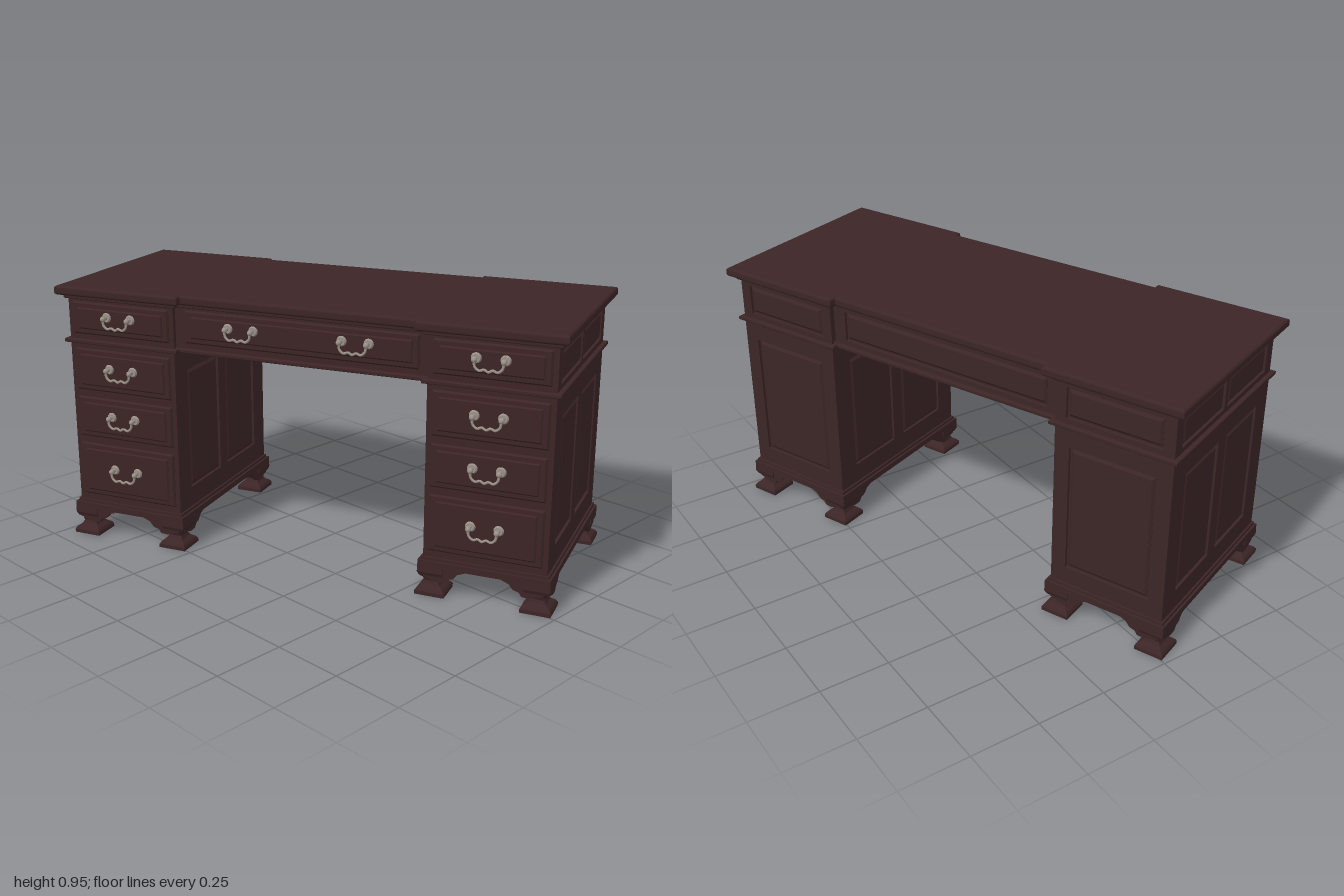
import * as THREE from 'three';

const wood = new THREE.MeshStandardMaterial({ color: 0x3c2526 });
wood.name = 'dark mahogany';
const metal = new THREE.MeshStandardMaterial({ color: 0x9a9088 });
metal.name = 'aged nickel';

function add(parent, name, geo, x = 0, y = 0, z = 0, mat = wood) {
  const m = new THREE.Mesh(geo, mat);
  m.name = name;
  m.position.set(x, y, z);
  parent.add(m);
  return m;
}

function polygon(points) {
  return new THREE.Shape(points.map(([x, y]) => new THREE.Vector2(x, y)));
}

// Breakfront outline (centre set back on both long sides), grown by o
function slab(parent, name, y0, y1, o, bevel = 0) {
  const b = o - bevel;
  const X = 0.89 + b, S = 0.465 - b, Z = 0.345 + b, C = 0.32 + b;
  const shape = polygon([
    [-X, -Z], [-S, -Z], [-S, -C], [S, -C], [S, -Z], [X, -Z],
    [X, Z], [S, Z], [S, C], [-S, C], [-S, Z], [-X, Z],
  ]);
  const t = bevel * 0.8;
  const geo = new THREE.ExtrudeGeometry(shape, {
    depth: y1 - y0 - 2 * t, bevelEnabled: bevel > 0, bevelSize: bevel, bevelThickness: t, bevelSegments: 4,
  });
  geo.rotateX(-Math.PI / 2);
  return add(parent, name, geo, 0, y0 + t, 0);
}

function rect(w, h, cx = 0) {
  return [[cx - w / 2, -h / 2], [cx + w / 2, -h / 2], [cx + w / 2, h / 2], [cx - w / 2, h / 2]];
}

// Raised panel with sloping edges, back on z = 0
function raised(parent, name, w, h, cx, depth, slope, z) {
  const geo = new THREE.ExtrudeGeometry(polygon(rect(w - 2 * slope, h - 2 * slope)), {
    depth: 0.001, bevelSize: slope, bevelThickness: depth, bevelSegments: 1,
  });
  return add(parent, name, geo, cx, 0, z);
}

// Stile-and-rail frame with n raised panels, facing local +z
function panelling(parent, name, w, h, n, mx, my, gap, pos, turn) {
  const g = new THREE.Group();
  g.name = name;
  const frame = polygon(rect(w, h));
  const pw = (w - 2 * mx - gap * (n - 1)) / n, ph = h - 2 * my;
  for (let i = 0; i < n; i++) {
    const cx = -w / 2 + mx + pw / 2 + i * (pw + gap);
    frame.holes.push(new THREE.Path(rect(pw, ph, cx).reverse().map(([x, y]) => new THREE.Vector2(x, y))));
    raised(g, 'raisedPanel', pw - 0.014, ph - 0.014, cx, 0.007, 0.01, 0);
  }
  add(g, 'frame', new THREE.ExtrudeGeometry(frame, { depth: 0.01, bevelEnabled: false }));
  g.position.set(...pos);
  g.rotation.y = turn;
  parent.add(g);
}

// Hanging bail pull with two round rosettes
function handle(parent, x, y, z) {
  const g = new THREE.Group();
  g.name = 'handle';
  for (const s of [-1, 1]) {
    const plate = add(g, 'rosette', new THREE.CylinderGeometry(0.014, 0.018, 0.006, 16), s * 0.048, 0.012, 0.003, metal);
    plate.rotation.x = Math.PI / 2;
    const post = add(g, 'post', new THREE.CylinderGeometry(0.006, 0.006, 0.024, 10), s * 0.048, 0.012, 0.012, metal);
    post.rotation.x = Math.PI / 2;
    add(g, 'knob', new THREE.SphereGeometry(0.010, 12, 8), s * 0.048, 0.012, 0.024, metal);
  }
  const pts = [[-0.048, 0.012], [-0.045, -0.01], [-0.03, -0.022], [-0.014, -0.017], [0, -0.024],
    [0.014, -0.017], [0.03, -0.022], [0.045, -0.01], [0.048, 0.012]];
  const curve = new THREE.CatmullRomCurve3(pts.map(([a, b]) => new THREE.Vector3(a, b, 0.026)));
  add(g, 'bail', new THREE.TubeGeometry(curve, 32, 0.0045, 8), 0, 0, 0, metal);
  g.position.set(x, y, z);
  parent.add(g);
}

// Lipped drawer front with a raised field
function drawer(parent, x, y0, y1, w, z, pulls) {
  const g = new THREE.Group();
  g.name = 'drawer';
  const h = y1 - y0;
  raised(g, 'drawerLip', w, h, 0, 0.006, 0.006, 0);
  raised(g, 'drawerField', w - 0.045, h - 0.04, 0, 0.004, 0.005, 0.007);
  for (const p of pulls) handle(g, p, 0, 0.014);
  g.position.set(x, (y0 + y1) / 2, z);
  parent.add(g);
}

// Square ogee foot with a bracket along each face; sx, sz point to the corner
function foot(parent, x, z, sx, sz) {
  const g = new THREE.Group();
  g.name = 'bracketFoot';
  const profile = [[0, 0], [0.052, 0], [0.052, 0.013], [0.046, 0.022], [0.031, 0.033], [0.025, 0.045],
    [0.029, 0.057], [0.04, 0.068], [0.046, 0.082], [0.045, 0.11]];
  const geo = new THREE.LatheGeometry(profile.map(([r, y]) => new THREE.Vector2(r * Math.SQRT2, y)), 4)
    .rotateY(Math.PI / 4).toNonIndexed();
  geo.computeVertexNormals();
  add(g, 'ogeeFoot', geo, x - sx * 0.045, 0, z - sz * 0.045);
  const outline = [[0.02, 0.112], [0.02, 0.065], [0.07, 0.05], [0.095, 0.052], [0.105, 0.066],
    [0.125, 0.072], [0.14, 0.09], [0.165, 0.1], [0.165, 0.112]];
  const along = (s) => new THREE.ExtrudeGeometry(
    polygon(outline.map(([a, b]) => [-s * a, b])), { depth: 0.022, bevelEnabled: false });
  add(g, 'bracket', along(sx), x, 0, z - sz * 0.015 - 0.011);
  const side = add(g, 'bracket', along(-sz), x - sx * 0.015 - 0.011, 0, z);
  side.rotation.y = Math.PI / 2;
  parent.add(g);
}

function pedestal(parent, s) {
  const g = new THREE.Group();
  g.name = s > 0 ? 'leftPedestal' : 'rightPedestal';
  const cx = s * 0.6775, w = 0.425, h = 0.62, cy = 0.435, q = Math.PI / 2;
  add(g, 'carcass', new THREE.BoxGeometry(w - 0.02, h + 0.01, 0.67), cx, cy, 0);
  add(g, 'frontFrame', new THREE.BoxGeometry(w, h, 0.01), cx, cy, 0.34);
  panelling(g, 'backPanelling', w, h, 1, 0.055, 0.075, 0, [cx, cy, -0.335], Math.PI);
  for (const t of [-1, 1]) {
    panelling(g, 'sidePanelling', 0.67, h, 2, 0.075, 0.085, 0.055, [cx + t * (w / 2 - 0.01), cy, 0], t * q);
  }
  // Plinth and its small upper moulding
  add(g, 'plinth', new THREE.BoxGeometry(w + 0.03, 0.022, 0.72), cx, 0.114, 0);
  add(g, 'plinthMoulding', new THREE.BoxGeometry(w + 0.014, 0.012, 0.704), cx, 0.13, 0);
  for (const [y0, y1] of [[0.16, 0.362], [0.388, 0.54], [0.566, 0.722]]) {
    drawer(g, cx, y0, y1, 0.39, 0.345, [0]);
  }
  for (const sx of [-1, 1]) {
    for (const sz of [-1, 1]) foot(g, cx + sx * 0.2275, sz * 0.36, sx, sz);
  }
  parent.add(g);
}

export function createModel() {
  const root = new THREE.Group();
  root.name = 'pedestalDesk';
  const desk = new THREE.Group();
  desk.name = 'desk';
  root.add(desk);

  // Top board, cornice and waist moulding
  slab(desk, 'desktop', 0.916, 0.95, 0.035, 0.012);
  slab(desk, 'topMoulding', 0.902, 0.917, 0.012, 0.005);
  slab(desk, 'waistMoulding', 0.741, 0.756, 0.016, 0.005);

  // Upper case with panelled ends and back, plain front
  const top = new THREE.Group();
  top.name = 'upperCase';
  desk.add(top);
  slab(top, 'case', 0.75, 0.91, -0.01);
  const cy = 0.829, h = 0.15;
  for (const s of [-1, 1]) {
    panelling(top, 'endPanelling', 0.67, h, 2, 0.035, 0.02, 0.02, [s * 0.88, cy, 0], s * Math.PI / 2);
    panelling(top, 'backPanelling', 0.425, h, 1, 0.04, 0.02, 0, [s * 0.6775, cy, -0.335], Math.PI);
    add(top, 'frontFrame', new THREE.BoxGeometry(0.425, h, 0.01), s * 0.6775, cy, 0.34);
    drawer(top, s * 0.6775, 0.775, 0.893, 0.39, 0.345, [0]);
    pedestal(desk, s);
  }
  panelling(top, 'centreBackPanelling', 0.94, h, 1, 0.05, 0.02, 0, [0, cy, -0.31], Math.PI);
  add(top, 'centreFrontFrame', new THREE.BoxGeometry(0.94, h, 0.01), 0, cy, 0.315);
  drawer(top, 0, 0.775, 0.893, 0.86, 0.32, [-0.21, 0.21]);

  // The desk stands at an angle
  desk.rotation.y = 0.385;
  return root;
}
